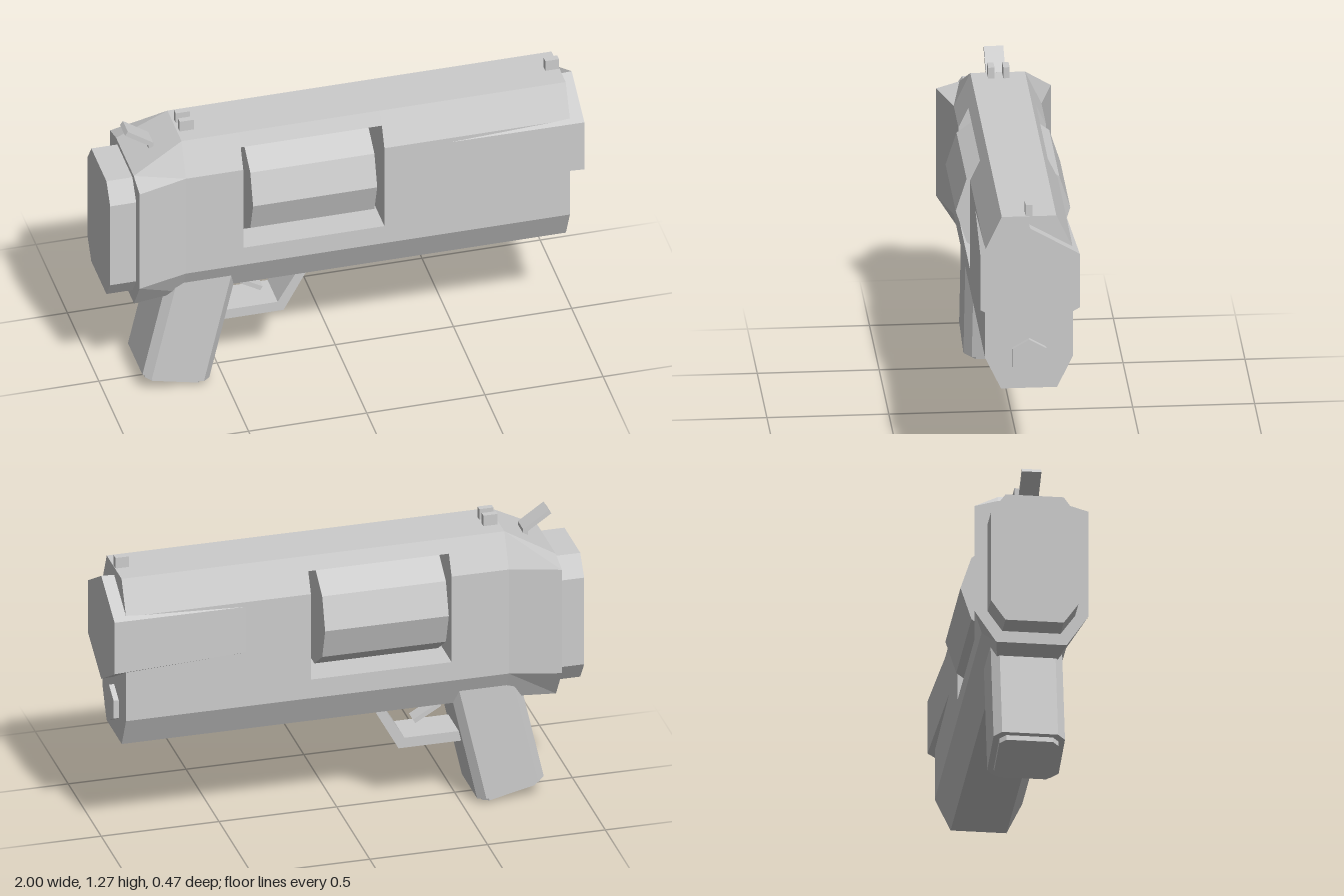
import * as THREE from 'three';

const material = new THREE.MeshStandardMaterial({ color: 0xcccccc, flatShading: true });

function add(parent, name, geometry) {
  const mesh = new THREE.Mesh(geometry, material);
  mesh.name = name;
  parent.add(mesh);
  return mesh;
}

// Skins cross-sections along x. Each section is [x, half profile of [z, y] from top to bottom].
function loft(sections) {
  const rings = sections.map(([x, half]) => [
    ...half.map(([z, y]) => [x, y, z]),
    ...half.slice().reverse().map(([z, y]) => [x, y, -z]),
  ]);
  const n = rings[0].length;
  const pos = [];
  const tri = (a, b, c) => pos.push(...a, ...b, ...c);
  for (let s = 0; s < rings.length - 1; s++) {
    const a = rings[s], b = rings[s + 1];
    for (let i = 0; i < n; i++) {
      const j = (i + 1) % n;
      tri(a[i], a[j], b[j]);
      tri(a[i], b[j], b[i]);
    }
  }
  const first = rings[0], last = rings[rings.length - 1];
  for (let i = 1; i < n - 1; i++) {
    tri(last[0], last[i], last[i + 1]);
    tri(first[0], first[i + 1], first[i]);
  }
  const g = new THREE.BufferGeometry();
  g.setAttribute('position', new THREE.Float32BufferAttribute(pos, 3));
  g.computeVertexNormals();
  return g;
}

// Side outline in x/y, extruded symmetrically about z = 0
function plate(points, depth) {
  const shape = new THREE.Shape(points.map(([x, y]) => new THREE.Vector2(x, y)));
  return new THREE.ExtrudeGeometry(shape, { depth, bevelEnabled: false }).translate(0, 0, -depth / 2);
}

// Faceted rod along x
function rod(x0, x1, r0, r1, sides, y, start = 0) {
  return new THREE.CylinderGeometry(r1, r0, x1 - x0, sides, 1, false, start)
    .rotateZ(-Math.PI / 2)
    .translate((x0 + x1) / 2, y, 0);
}

function box(x0, x1, y0, y1, z0, z1) {
  return new THREE.BoxGeometry(x1 - x0, y1 - y0, z1 - z0)
    .translate((x0 + x1) / 2, (y0 + y1) / 2, (z0 + z1) / 2);
}

// Upright block with chamfered corners, from y0 to y1
function chamferedBlock(hx, hz, c, y0, y1) {
  const shape = new THREE.Shape([
    [hx, -hz + c], [hx, hz - c], [hx - c, hz], [-hx + c, hz],
    [-hx, hz - c], [-hx, -hz + c], [-hx + c, -hz], [hx - c, -hz],
  ].map(([x, y]) => new THREE.Vector2(x, y)));
  return new THREE.ExtrudeGeometry(shape, { depth: y1 - y0, bevelEnabled: false })
    .rotateX(-Math.PI / 2)
    .translate(0, y0, 0);
}

export function createModel() {
  const model = new THREE.Group();
  model.name = 'blaster';

  // Frame: full sections either side of an open window, joined by rails above and below it
  const frame = new THREE.Group();
  frame.name = 'frame';
  model.add(frame);
  const profile = [[0.112, 1.222], [0.18, 1.08], [0.18, 0.605], [0.115, 0.47]];
  const flare = [[0.14, 1.105], [0.235, 1.077], [0.235, 0.605], [0.145, 0.47]];
  const winX0 = -0.437, winX1 = 0.16;
  const topRail = [[0.112, 1.222], [0.139, 1.165]];
  const bottomRail = [[0.18, 0.69], [0.18, 0.605], [0.115, 0.47]];
  add(frame, 'rearFrame', loft([[-0.89, flare], [-0.68, profile], [winX0, profile]]));
  add(frame, 'frontFrame', loft([[winX1, profile], [0.945, profile]]));
  add(frame, 'topRail', loft([[winX0, topRail], [winX1, topRail]]));
  add(frame, 'bottomRail', loft([[winX0, bottomRail], [winX1, bottomRail]]));

  // Back block
  const back = [[0.12, 1.085], [0.18, 1.0], [0.18, 0.605], [0.12, 0.52]];
  add(model, 'backBlock', loft([[-1, back], [-0.88, back]]));

  // Rotating cylinder, flared barrel and the plug beneath it
  add(model, 'cylinder', rod(-0.41, 0.115, 0.235, 0.235, 10, 0.93));
  add(model, 'barrel', rod(0.17, 1, 0.195, 0.235, 6, 0.955, Math.PI / 6));
  add(model, 'plug', rod(0.93, 0.967, 0.081, 0.081, 6, 0.608, Math.PI / 6));

  // Sights
  add(model, 'frontSight', box(0.885, 0.943, 1.2, 1.27, -0.014, 0.014));
  for (const s of [-1, 1]) {
    const sight = add(model, 'rearSight', box(-0.67, -0.61, 1.2, 1.27, -0.013, 0.013));
    sight.position.z = s * 0.031;
  }

  // Hammer
  add(model, 'hammer', plate([
    [-0.9, 1.24], [-0.8, 1.172], [-0.8, 1.1], [-0.78, 1.1], [-0.78, 1.183], [-0.888, 1.257],
  ], 0.08));

  // Raked grip with a thin inset base
  const grip = new THREE.Group();
  grip.name = 'grip';
  grip.position.set(-0.705, 0.053, 0);
  grip.rotation.z = -0.224;
  model.add(grip);
  add(grip, 'handle', chamferedBlock(0.145, 0.147, 0.032, 0, 0.53));
  add(grip, 'gripBase', chamferedBlock(0.125, 0.122, 0.026, -0.024, 0.01));

  // Trigger and guard
  add(model, 'triggerGuard', plate([
    [-0.54, 0.275], [-0.24, 0.275], [-0.127, 0.48], [-0.17, 0.48], [-0.265, 0.32], [-0.54, 0.32],
  ], 0.16));
  add(model, 'trigger', plate([
    [-0.433, 0.5], [-0.433, 0.418], [-0.325, 0.355], [-0.315, 0.372], [-0.413, 0.43], [-0.413, 0.5],
  ], 0.06));

  return model;
}
